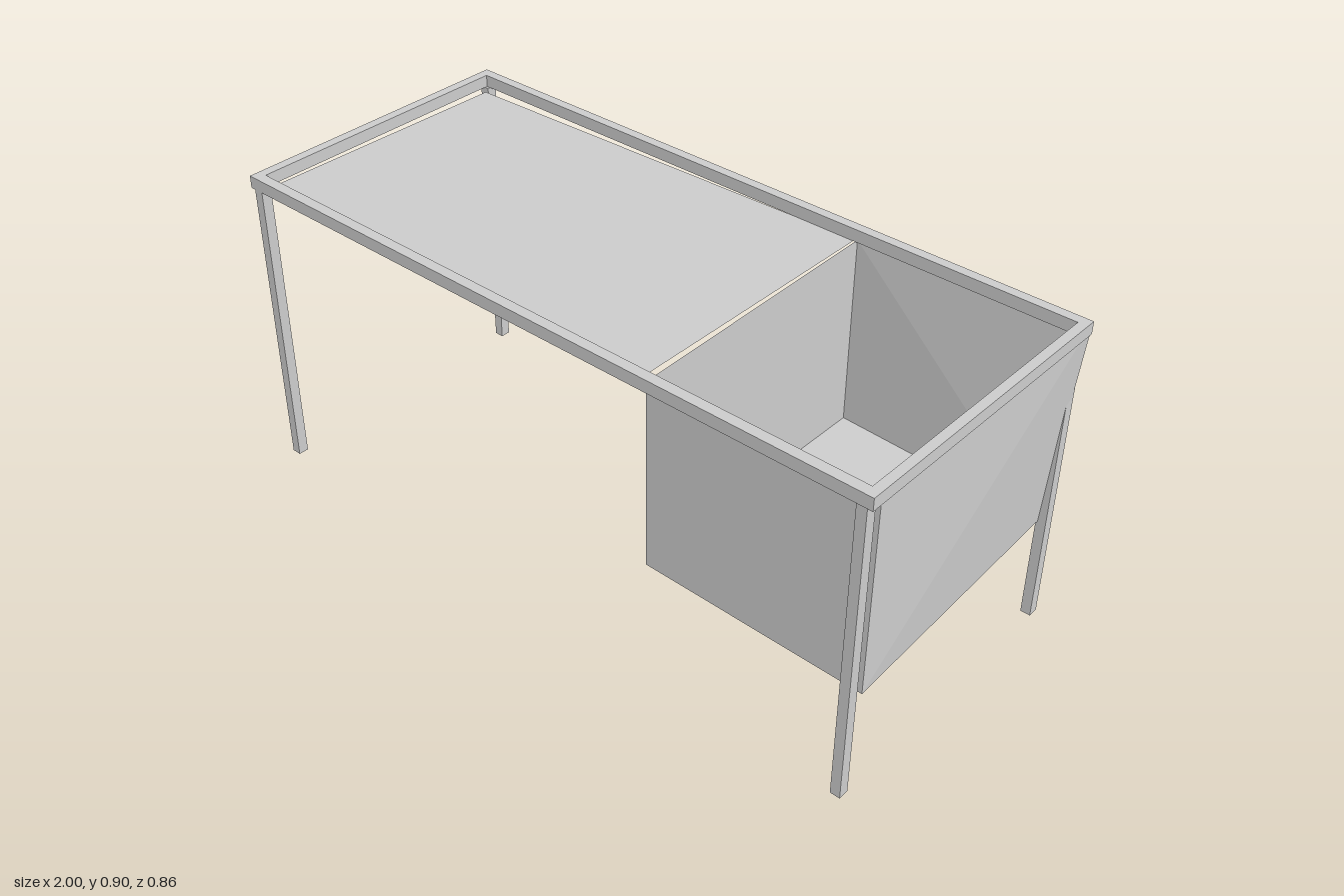
import * as THREE from 'three';

export function createModel() {
  const group = new THREE.Group();
  const metal = new THREE.MeshStandardMaterial({ color: 0xcccccc, flatShading: true });
  const sheet = new THREE.MeshStandardMaterial({ color: 0xcccccc, flatShading: true, side: THREE.DoubleSide });

  // Box given by its minimum and maximum corners
  const bar = (name, a, b) => {
    const mesh = new THREE.Mesh(new THREE.BoxGeometry(b[0] - a[0], b[1] - a[1], b[2] - a[2]), metal);
    mesh.position.set((a[0] + b[0]) / 2, (a[1] + b[1]) / 2, (a[2] + b[2]) / 2);
    mesh.name = name;
    group.add(mesh);
  };

  // Thin panel through four corners, in order around its edge
  const panel = (name, ...corners) => {
    const geometry = new THREE.BufferGeometry();
    geometry.setAttribute('position', new THREE.Float32BufferAttribute(corners.flat(), 3));
    geometry.setIndex([0, 1, 2, 0, 2, 3]);
    geometry.computeVertexNormals();
    const mesh = new THREE.Mesh(geometry, sheet);
    mesh.name = name;
    group.add(mesh);
  };

  // Rectangular top frame
  bar('frontRail', [-1, 0.865, 0.4], [1, 0.9, 0.43]);
  bar('backRail', [-1, 0.865, -0.43], [1, 0.9, -0.402]);
  bar('rightRail', [-1, 0.865, -0.402], [-0.972, 0.9, 0.4]);
  bar('leftRail', [0.974, 0.865, -0.402], [1, 0.9, 0.4]);

  // Four square legs
  for (const [side, x] of [['left', 0.957], ['right', -0.988]]) {
    bar(side + 'FrontLeg', [x, 0, 0.398], [x + 0.028, 0.865, 0.428]);
    bar(side + 'BackLeg', [x, 0, -0.424], [x + 0.028, 0.865, -0.394]);
  }

  // Worktop sheet, slightly skewed along the back edge
  panel('worktop', [-0.965, 0.864, 0.393], [0.34, 0.864, 0.393], [0.34, 0.864, -0.408], [-0.95, 0.864, -0.375]);

  // Open basin: floor and four slightly uneven walls
  const floor = [[0.35, 0.315, 0.386], [0.99, 0.31, 0.386], [0.962, 0.305, -0.395], [0.35, 0.315, -0.41]];
  const rim = [[0.35, 0.856, 0.386], [0.99, 0.85, 0.386], [0.998, 0.898, -0.431], [0.347, 0.866, -0.412]];
  panel('basinFloor', ...floor);
  ['basinFront', 'basinLeftSide', 'basinBack', 'basinRightSide'].forEach((name, i) => {
    const j = (i + 1) % 4;
    panel(name, floor[i], floor[j], rim[j], rim[i]);
  });

  return group;
}
